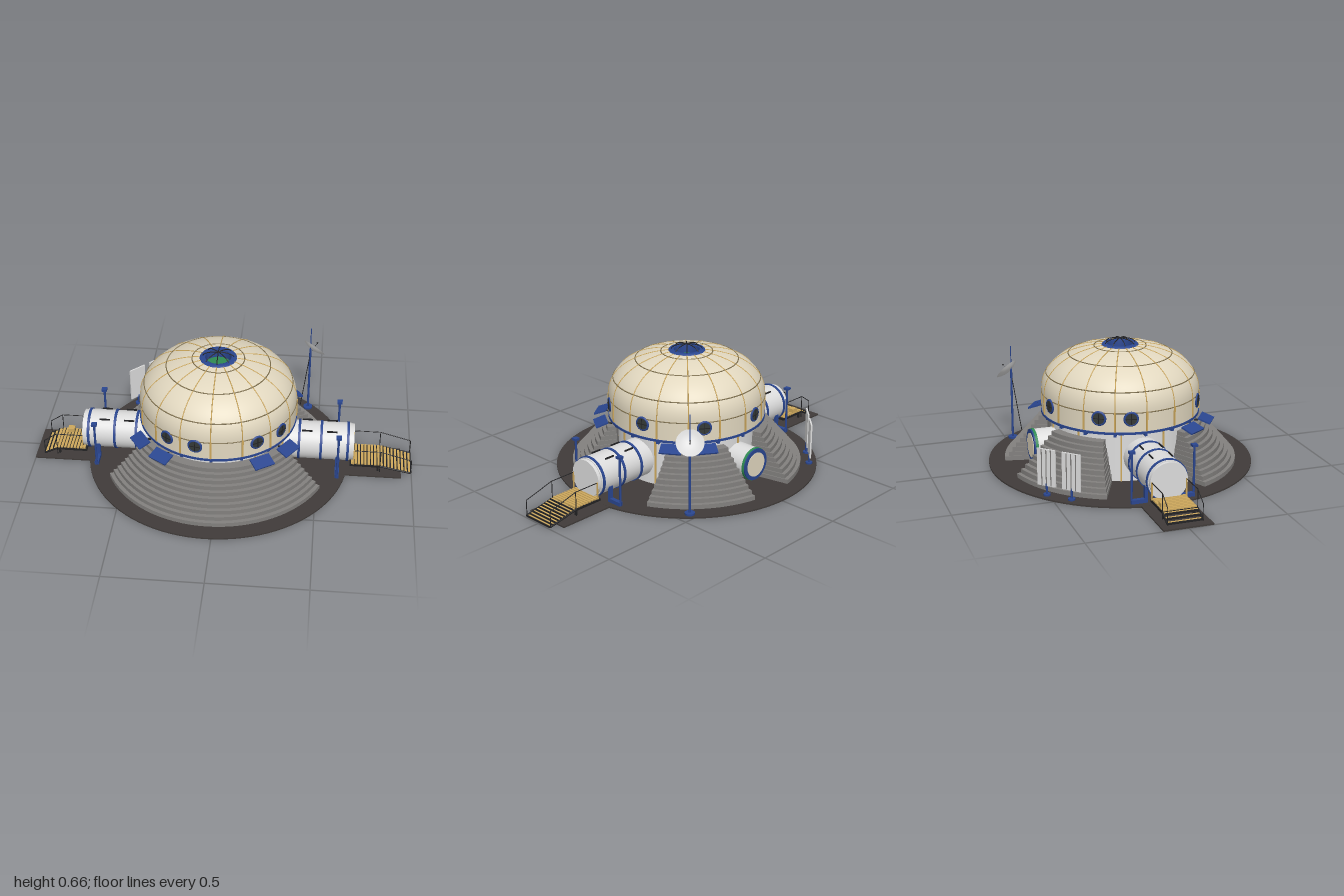
import * as THREE from 'three';

const mat = (name, color) => Object.assign(new THREE.MeshStandardMaterial({ color }), { name });
const M = {
  ground: mat('dark ground', 0x403b39), grey: mat('grey block', 0x82807e),
  white: mat('white shell', 0xdcdcdc), beige: mat('beige dome', 0xe1d7bf),
  gold: mat('gold trim', 0xcda85c), brown: mat('brown seam', 0x80714e),
  blue: mat('blue metal', 0x2a4690), black: mat('black metal', 0x222224),
  green: mat('green glass', 0x2f8a52), glass: mat('dark glass', 0x353a38),
};
for (const k of ['beige', 'white', 'blue']) M[k].side = THREE.DoubleSide;

const CX = -0.027; // axis of the round building
const V = (x, y, z) => new THREE.Vector3(x, y, z);

function add(parent, name, geo, m, x = 0, y = 0, z = 0) {
  const mesh = new THREE.Mesh(geo, m);
  mesh.name = name;
  mesh.position.set(x, y, z);
  parent.add(mesh);
  return mesh;
}
const box = (p, n, m, w, h, d, x, y, z) => add(p, n, new THREE.BoxGeometry(w, h, d), m, x, y, z);
const cyl = (p, n, m, r, h, x, y, z, seg = 32) => add(p, n, new THREE.CylinderGeometry(r, r, h, seg), m, x, y, z);
function group(parent, name, x = 0, y = 0, z = 0, ry = 0) {
  const g = new THREE.Group();
  g.name = name;
  g.position.set(x, y, z);
  g.rotation.y = ry;
  parent.add(g);
  return g;
}
// group on a circle, its +z pointing outward; a is measured from +z towards +x
const polar = (p, n, a, r, y) => group(p, n, r * Math.sin(a), y, r * Math.cos(a), a);
function rod(p, n, m, a, b, r) {
  const mesh = cyl(p, n, m, r, a.distanceTo(b), 0, 0, 0, 8);
  mesh.position.copy(a).lerp(b, 0.5);
  mesh.quaternion.setFromUnitVectors(V(0, 1, 0), b.clone().sub(a).normalize());
  return mesh;
}
function ring(p, n, m, R, r, y) {
  const t = add(p, n, new THREE.TorusGeometry(R, r, 8, 64), m, 0, y, 0);
  t.rotation.x = Math.PI / 2;
  return t;
}
const rad = THREE.MathUtils.degToRad;

// stepped block wall over an arc, narrowing towards the top
function terrace(p, name, a0, a1) {
  const g = group(p, name), N = 10, h = 0.0228;
  for (let i = 0; i < N; i++) {
    const R = 0.605 - 0.178 * i / (N - 1), r = 0.38, cut = 5 * i / (N - 1);
    const s = rad(a0 + cut), e = rad(a1 - cut), shape = new THREE.Shape(), K = 32;
    for (let k = 0; k <= K; k++) {
      const a = s + (e - s) * k / K;
      shape[k ? 'lineTo' : 'moveTo'](R * Math.sin(a), -R * Math.cos(a));
    }
    for (let k = K; k >= 0; k--) {
      const a = s + (e - s) * k / K;
      shape.lineTo(r * Math.sin(a), -r * Math.cos(a));
    }
    const geo = new THREE.ExtrudeGeometry(shape, { depth: h, bevelEnabled: false });
    geo.rotateX(-Math.PI / 2);
    add(g, 'terraceStep', geo, M.grey, 0, 0.008 + i * h, 0);
  }
}

// horizontal tube pointing along +z of its group
function tunnel(p, name, R, z0, z1, bands) {
  const g = group(p, name);
  const along = (n, m, r, len, z) => (cyl(g, n, m, r, len, 0, 0, z, 40).rotation.x = Math.PI / 2);
  along('tunnelShell', M.white, R, z1 - z0, (z0 + z1) / 2);
  for (const b of bands) along('tunnelBand', M.blue, R + 0.005, 0.013, b);
  return { g, along };
}

// airlock with landing; s = 1 on the +x side, -1 on the other
function airlock(p, s) {
  const g = group(p, 'airlock', 0, 0, 0, s * Math.PI / 2);
  const t = tunnel(g, 'airlockTunnel', 0.1, 0.33, 0.7, [0.43, 0.545, 0.685]);
  t.g.position.y = 0.133;
  t.along('airlockDoor', M.white, 0.096, 0.02, 0.707);
  for (const x of [-0.05, 0.05]) for (const z of [0.47, 0.6])
    box(t.g, 'grabRail', M.black, 0.005, 0.008, 0.055, x, 0.091, z);
  for (const x of [-1, 1]) {
    box(g, 'tunnelFoot', M.blue, 0.075, 0.02, 0.022, x * 0.125, 0.018, 0.635);
    box(g, 'tunnelLeg', M.blue, 0.014, 0.085, 0.022, x * 0.088, 0.05, 0.635);
    rod(g, 'lampPost', M.blue, V(x * 0.16, 0, 0.635), V(x * 0.16, 0.265, 0.635), 0.006);
    box(g, 'lampHead', M.blue, 0.028, 0.012, 0.028, x * 0.16, 0.27, 0.635);
  }
  // landing planks
  const deckEnd = 0.86, end = s > 0 ? 1.025 : 0.93, top = 0.055;
  box(g, 'landingFrame', M.black, 0.176, 0.012, deckEnd - 0.7, 0, top - 0.013, (0.7 + deckEnd) / 2);
  for (let i = 0; i < 9; i++) box(g, 'landingPlank', M.gold, 0.17, 0.008, 0.012, 0, top - 0.004, 0.715 + i * 0.0172);
  for (const x of [-0.075, 0.075]) box(g, 'landingLeg', M.black, 0.01, top - 0.01, 0.01, x, (top - 0.01) / 2, 0.85);
  // stairs down to the ground, with dark risers
  const n = s > 0 ? 9 : 3, d = (end - deckEnd) / n;
  for (let i = 0; i < n; i++) {
    const y = top - 0.004 - (i + 0.5) / n * 0.042, z = deckEnd + (i + 0.5) * d;
    box(g, 'stairTread', M.gold, 0.17, 0.005, d * 0.6, 0, y, z);
    box(g, 'stairRiser', M.black, 0.17, 0.009, d * 0.3, 0, y - 0.001, z + d * 0.45);
  }
  for (const x of [-0.088, 0.088]) {
    rod(g, 'stairStringer', M.black, V(x, top - 0.01, deckEnd), V(x, 0.011, end), 0.005);
    // handrails
    const a = V(x, 0.138, 0.715), b = V(x, 0.138, deckEnd), c = V(x, 0.092, end - 0.003);
    rod(g, 'handrail', M.black, a, b, 0.0022);
    rod(g, 'handrail', M.black, b, c, 0.0022);
    for (const q of [b, c]) rod(g, 'railPost', M.black, q, V(x, 0.01, q.z), 0.0022);
    box(g, 'railEndPost', M.gold, 0.006, 0.09, 0.006, x, 0.095, 0.72);
  }
  if (s < 0) box(g, 'supplyCrate', M.gold, 0.035, 0.02, 0.035, -0.065, top + 0.01, 0.81);
}

export function createModel() {
  const root = new THREE.Group();
  root.name = 'domeHabitat';
  const g = group(root, 'building', CX);

  // ground pad and walkway
  cyl(g, 'groundDisc', M.ground, 0.69, 0.008, 0, 0.004, 0, 96);
  box(root, 'walkwayPad', M.ground, 1.945, 0.0076, 0.25, -0.0275, 0.0038, 0);

  // terraces: one wide in front, two behind
  terrace(g, 'frontTerrace', -65, 65);
  terrace(g, 'rearTerrace', 115, 168);
  terrace(g, 'rearTerrace', 192, 245);

  // drum under the dome
  cyl(g, 'drumWall', M.white, 0.36, 0.27, 0, 0.14, 0, 64);
  for (let i = 0; i < 10; i++) {
    const p = polar(g, 'drumRib', rad(i * 36), 0.362, 0.14);
    box(p, 'drumRibBar', M.gold, 0.009, 0.268, 0.008, 0, 0, 0);
  }
  for (let i = 0; i < 16; i++) {
    const q = polar(g, 'rimBracket', rad(i * 22.5), 0.375, 0.262);
    box(q, 'rimBracketBlock', M.blue, 0.014, 0.018, 0.05, 0, 0, 0);
  }
  cyl(g, 'rimFloor', M.blue, 0.412, 0.012, 0, 0.276, 0, 64);

  // dome shell with full shoulders
  const pw = 2 / 2.25;
  const domeAt = t => new THREE.Vector2(0.408 * Math.cos(t) ** pw, 0.38 + 0.245 * Math.sin(t) ** pw);
  const tEnd = Math.acos((0.088 / 0.408) ** (1 / pw)), prof = [new THREE.Vector2(0.408, 0.282)];
  for (let i = 0; i <= 28; i++) prof.push(domeAt(tEnd * i / 28));
  add(g, 'domeShell', new THREE.LatheGeometry(prof, 96), M.beige);
  // meridian ribs and horizontal seams
  const ribCurve = new THREE.CatmullRomCurve3(prof.map(p => V(0, p.y, p.x)));
  const ribGeo = new THREE.TubeGeometry(ribCurve, 40, 0.0028, 6);
  for (let i = 0; i < 16; i++) {
    add(g, 'domeRib', ribGeo, M.gold).rotation.y = rad(i * 22.5);
    const p = polar(g, 'wallRib', rad(i * 22.5), 0.409, 0.335);
    box(p, 'wallRibBar', M.gold, 0.009, 0.1, 0.008, 0, 0, 0);
  }
  for (const t of [0, 0.37, 0.9, 1.28]) {
    const p = domeAt(t);
    ring(g, 'domeSeam', M.brown, p.x, 0.003, p.y);
  }

  // skylight: blue collar and well, recessed green pane, cage
  const sky = group(g, 'skylight', 0, 0.62, 0);
  const well = [[0.064, -0.045], [0.064, 0.004], [0.07, 0.008], [0.09, 0.008], [0.098, -0.002]];
  add(sky, 'skylightCollar', new THREE.LatheGeometry(well.map(q => new THREE.Vector2(...q)), 56), M.blue);
  cyl(sky, 'skylightPane', M.green, 0.064, 0.006, 0, -0.04, 0, 48);
  for (let i = 0; i < 4; i++) {
    const pts = [-1, -0.85, -0.5, 0, 0.5, 0.85, 1].map(u => V(0.085 * u, 0.034 * Math.sqrt(1 - u * u), 0));
    add(sky, 'cageBar', new THREE.TubeGeometry(new THREE.CatmullRomCurve3(pts), 24, 0.0025, 6), M.black).rotation.y = i * Math.PI / 4;
  }

  // portholes between ribs, by bay counted from +x towards +z
  for (const k of [1, 2, 4, 5, 8, 9, 11, 13, 15]) {
    const p = polar(g, 'porthole', rad(90 - (k * 22.5 + 11.25)), 0.408, 0.351);
    add(p, 'portholeFrame', new THREE.TorusGeometry(0.032, 0.0065, 8, 28), M.blue);
    cyl(p, 'portholeGlass', M.glass, 0.029, 0.009, 0, 0, 0.001, 28).rotation.x = Math.PI / 2;
    for (const a of [0, Math.PI / 2]) box(p, 'portholeBar', M.black, 0.003, 0.056, 0.004, 0, 0, 0.007).rotation.z = a;
  }

  // tilted blue panels above the terraces
  for (const a of [-56, -34, 34, 56, 124, 146]) {
    const p = polar(g, 'solarPanel', rad(a), 0.457, 0.259);
    box(p, 'solarPlate', M.blue, 0.11, 0.008, 0.068, 0, 0, 0).rotation.x = 0.35;
    rod(p, 'solarStay', M.black, V(0, 0, 0), V(0, -0.015, -0.06), 0.005);
  }

  // side airlocks and rear hatch
  airlock(g, 1);
  airlock(g, -1);
  const rear = tunnel(group(g, 'rearHatch', 0, 0.125, 0, Math.PI), 'rearTunnel', 0.083, 0.33, 0.465, []);
  rear.along('hatchGreenBand', M.green, 0.086, 0.014, 0.471);
  rear.along('hatchRim', M.blue, 0.084, 0.007, 0.481);
  rear.along('hatchDoor', M.beige, 0.064, 0.008, 0.483);

  // antenna mast and dish
  const ant = group(root, 'antenna', 0.435, 0, -0.465);
  rod(ant, 'mast', M.blue, V(0, 0, 0), V(0, 0.4, 0), 0.006);
  rod(ant, 'mastTip', M.blue, V(0, 0.4, 0), V(0, 0.53, 0), 0.0025);
  cyl(ant, 'mastFoot', M.blue, 0.025, 0.012, 0, 0.012, 0);
  rod(ant, 'mastStay', M.black, V(0, 0.37, 0), V(-0.045, 0.03, 0.045), 0.0022);
  const dish = group(ant, 'dish', 0.01, 0.385, -0.01);
  dish.quaternion.setFromUnitVectors(V(0, 1, 0), V(0.52, 0.66, -0.52).normalize());
  const bowl = [0, 0.25, 0.5, 0.75, 1].map(u => new THREE.Vector2(0.068 * u, 0.02 * u * u));
  add(dish, 'dishBowl', new THREE.LatheGeometry(bowl, 40), M.white);
  rod(dish, 'dishFeed', M.black, V(0, 0, 0), V(0, 0.05, 0), 0.0016);
  cyl(dish, 'dishFeedHead', M.black, 0.004, 0.007, 0, 0.05, 0, 10);

  // pair of standing radiators
  const radi = group(root, 'radiators', -0.475, 0, -0.465, -Math.PI * 0.75);
  for (const x of [-0.068, 0.068]) {
    box(radi, 'radiatorPanel', M.white, 0.1, 0.19, 0.008, x, 0.152, 0);
    for (const d of [-0.025, 0, 0.025]) box(radi, 'radiatorStripe', M.grey, 0.005, 0.185, 0.002, x + d, 0.152, 0.0045);
    rod(radi, 'radiatorPost', M.blue, V(x, 0, 0), V(x, 0.07, 0), 0.006);
    cyl(radi, 'radiatorFoot', M.blue, 0.018, 0.01, x, 0.012, 0, 16);
  }
  return root;
}
